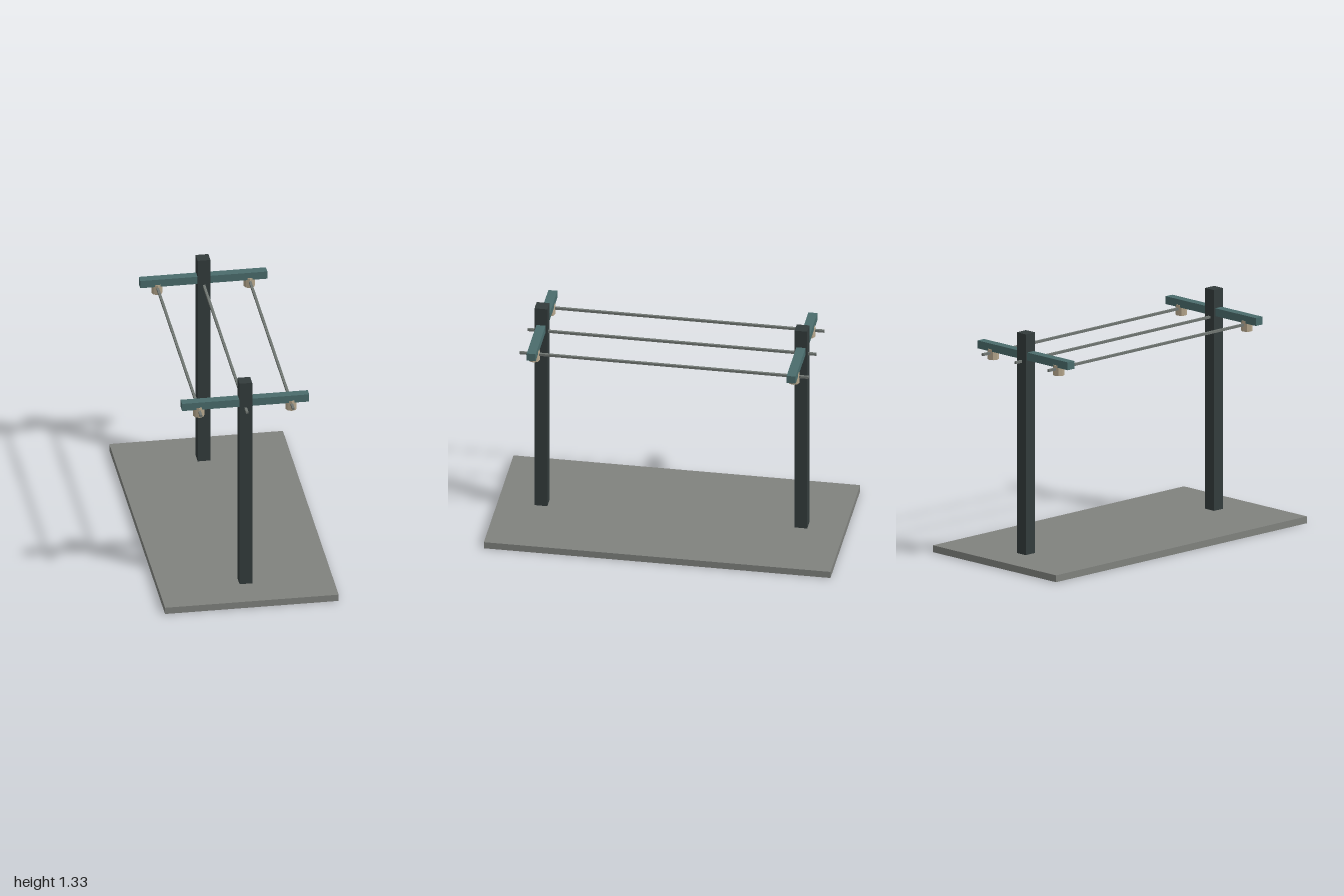
import * as THREE from 'three';

const paint = (color) => new THREE.MeshStandardMaterial({ color, flatShading: true });

export function createModel() {
  const model = new THREE.Group();
  const ground = paint(0x80827e);
  const postPaint = paint(0x333c3c);
  const barPaint = paint(0x4a6c6c);
  const cream = paint(0xb5a68c);
  const wirePaint = paint(0x707672);

  const add = (name, geometry, material, x, y, z) => {
    const mesh = new THREE.Mesh(geometry, material);
    mesh.name = name;
    mesh.position.set(x, y, z);
    model.add(mesh);
  };

  // Ground slab
  add('base', new THREE.BoxGeometry(1, 0.04, 2), ground, 0, 0.02, 0);

  // Two poles, each with a crossbar and a pair of octagonal insulators
  for (const z of [-0.75, 0.75]) {
    add('post', new THREE.BoxGeometry(0.073, 1.333, 0.073), postPaint, 0, 0.6665, z);
    add('crossbar', new THREE.BoxGeometry(0.732, 0.046, 0.052), barPaint, 0, 1.202, z);
    for (const x of [-0.266, 0.266]) {
      add('insulator', new THREE.CylinderGeometry(0.0325, 0.0325, 0.062, 8), cream, x, 1.161, z);
    }
  }

  // Three wires running between the poles and just past them
  for (const x of [-0.266, 0, 0.266]) {
    add('wire', new THREE.BoxGeometry(0.014, 0.014, 1.668), wirePaint, x, 1.169, 0);
  }

  return model;
}
